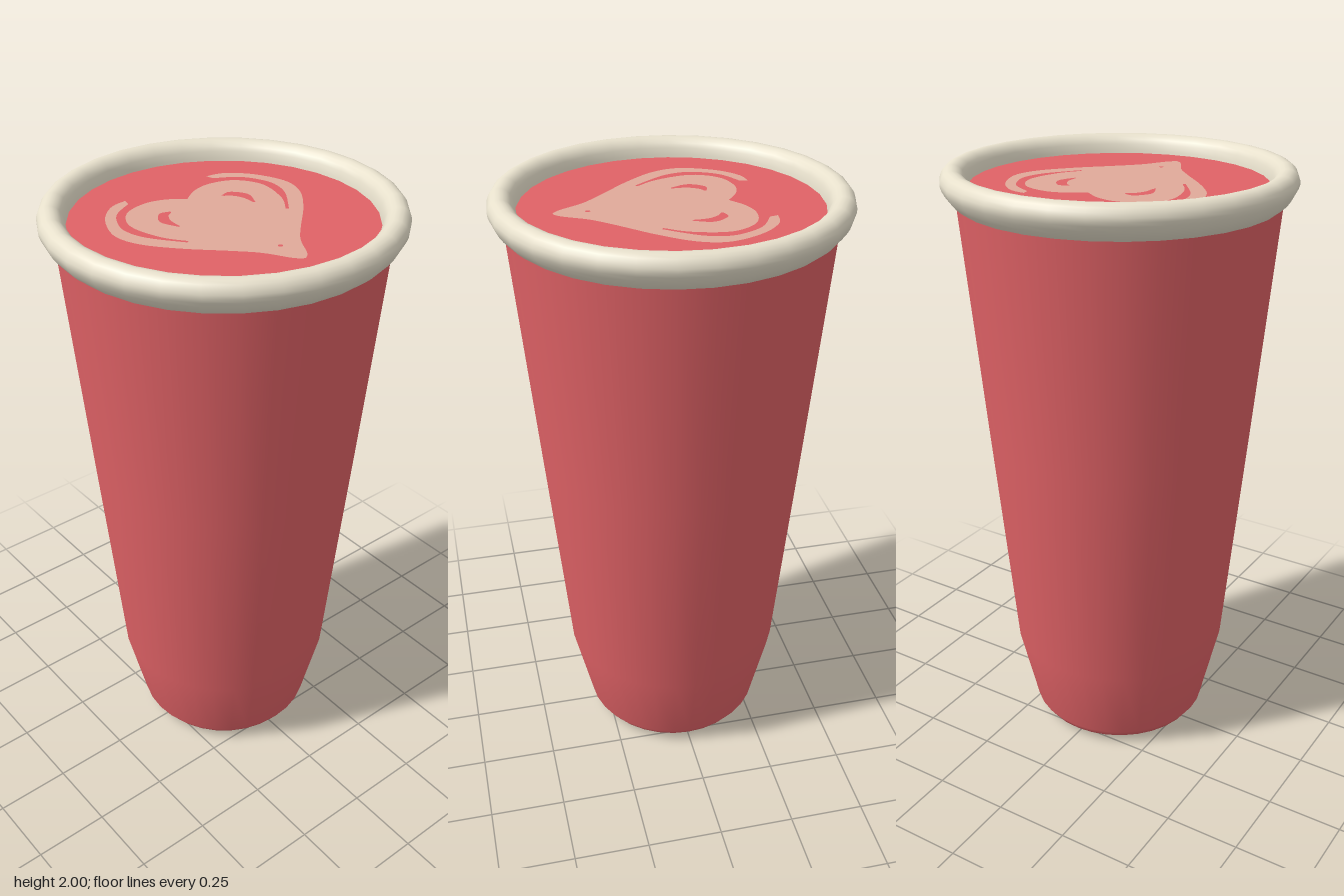
import * as THREE from 'three';

const SEGMENTS = 32;
const SURFACE_Y = 1.94;

function material(name, color, side = THREE.FrontSide) {
  const m = new THREE.MeshStandardMaterial({ color, side });
  m.name = name;
  return m;
}

const vectors = (pts) => pts.map(([x, y]) => new THREE.Vector2(x, y));
const smooth = (pts, n) => new THREE.SplineCurve(vectors(pts)).getPoints(n);
const mirrored = (pts) => pts.map((p) => new THREE.Vector2(-p.x, p.y)).reverse();

export function createModel() {
  const group = new THREE.Group();
  const red = material('red', 0xe06266);
  const cream = material('cream', 0xe7e0cc);
  const foam = material('foam pink', 0xe0a999);

  const add = (name, geometry, mat) => {
    const mesh = new THREE.Mesh(geometry, mat);
    mesh.name = name;
    group.add(mesh);
    return mesh;
  };

  // Tapered cup with a rounded foot
  add('cupBody', new THREE.LatheGeometry(vectors([
    [0, 0], [0.2, 0], [0.24, 0.002], [0.285, 0.02], [0.307, 0.05],
    [0.37, 0.32], [0.442, 1.1], [0.513, 1.89],
  ]), SEGMENTS), red);

  // Rolled lip, from the outer underside over to the inside
  add('rim', new THREE.LatheGeometry(smooth([
    [0.508, 1.885], [0.535, 1.908], [0.555, 1.94], [0.559, 1.965], [0.546, 1.99],
    [0.522, 2.0], [0.498, 1.993], [0.48, 1.97], [0.472, SURFACE_Y - 0.01],
  ], 16), SEGMENTS), cream);

  // Drink surface
  const drink = add('drinkSurface', new THREE.CircleGeometry(0.476, SEGMENTS).rotateX(-Math.PI / 2), red);
  drink.position.y = SURFACE_Y;

  // Half of the heart: lobe, inner and outer edge of the swirl, side down to the tip
  const half = [
    ...smooth([[0, 0.18], [0.06, 0.22], [0.132, 0.233], [0.213, 0.204], [0.258, 0.12],
      [0.234, 0.005], [0.187, -0.068]], 30),
    ...smooth([[0.195, -0.074], [0.267, 0.025], [0.289, 0.1], [0.276, 0.16],
      [0.237, 0.22], [0.166, 0.262]], 24),
    ...smooth([[0.16, 0.288], [0.222, 0.274], [0.29, 0.207], [0.333, 0.1], [0.312, 0.006],
      [0.237, -0.093], [0.132, -0.198], [0.072, -0.264], [0.027, -0.342], [0, -0.366]], 40),
  ];
  const heart = new THREE.Shape([...half, ...mirrored(half).slice(1, -1)]);

  // Crescent cut-outs in both lobes and a tiny dot near the tip
  const crescent = [
    ...smooth([[0.1, 0.135], [0.138, 0.141], [0.171, 0.09], [0.147, 0.027]], 14),
    ...smooth([[0.142, 0.035], [0.14, 0.08], [0.122, 0.114], [0.103, 0.127]], 10),
  ];
  heart.holes.push(new THREE.Path(crescent), new THREE.Path(mirrored(crescent)));
  heart.holes.push(new THREE.Path().absarc(0, -0.258, 0.008, 0, Math.PI * 2, true));

  const art = add('foamHeart', new THREE.ShapeGeometry(heart, 6).rotateX(-Math.PI / 2), foam);
  art.position.y = SURFACE_Y + 0.004;

  return group;
}
